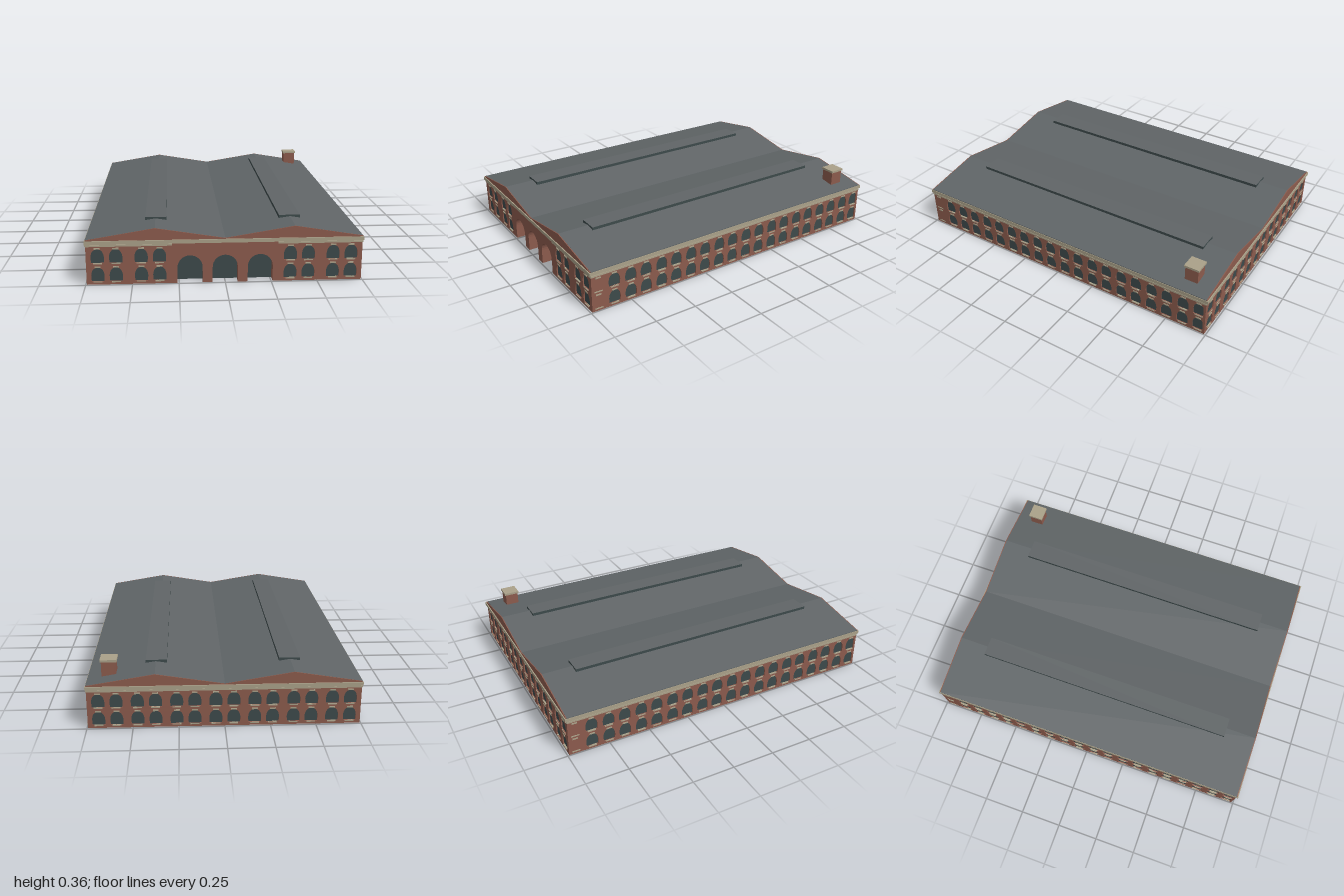
import * as THREE from 'three';
import { mergeGeometries } from 'three/addons/utils/BufferGeometryUtils.js';

const mat = (name, color, side = THREE.FrontSide) => {
  const m = new THREE.MeshStandardMaterial({ color, side });
  m.name = name;
  return m;
};

const T = 0.012;             // wall thickness
const ROWS = [0.018, 0.121]; // window sill heights

export function createModel() {
  const brick = mat('brick', 0x8c5b4d);
  const stone = mat('stone', 0xaaa189);
  const glass = mat('dark glass', 0x3d4a4b, THREE.DoubleSide);
  const slate = mat('slate roof', 0x606567);

  const model = new THREE.Group();
  model.name = 'brickHall';

  const add = (parent, name, geo, material) => {
    const m = new THREE.Mesh(geo, material);
    m.name = name;
    parent.add(m);
    return m;
  };
  const box = (x0, x1, y0, y1, z0, z1) =>
    new THREE.BoxGeometry(x1 - x0, y1 - y0, z1 - z0)
      .translate((x0 + x1) / 2, (y0 + y1) / 2, (z0 + z1) / 2);
  const extrude = (shape, depth, z) =>
    new THREE.ExtrudeGeometry(shape, { depth, bevelEnabled: false, curveSegments: 8 }).translate(0, 0, z);

  // Bell-shaped window outline, bottom centre at (x, y)
  const windowOutline = (path, x, y) => {
    path.moveTo(x - 0.034, y);
    path.lineTo(x + 0.034, y);
    path.lineTo(x + 0.036, y + 0.03);
    path.bezierCurveTo(x + 0.034, y + 0.055, x + 0.026, y + 0.077, x, y + 0.077);
    path.bezierCurveTo(x - 0.026, y + 0.077, x - 0.034, y + 0.055, x - 0.036, y + 0.03);
    path.lineTo(x - 0.034, y);
    return path;
  };

  // Wall outline with arched doorways cut up from the ground
  const wallOutline = (half, top, doors) => {
    const s = new THREE.Shape();
    s.moveTo(-half, 0);
    for (const x of doors) {
      s.lineTo(x - 0.068, 0);
      s.lineTo(x - 0.068, 0.087);
      s.absarc(x, 0.087, 0.068, Math.PI, 0, true);
      s.lineTo(x + 0.068, 0);
    }
    s.lineTo(half, 0);
    s.lineTo(half, top);
    s.lineTo(-half, top);
    s.closePath();
    return s;
  };

  // One facade in its own frame: outer face at z = 0, looking along +z
  const facade = (name, half, pairs, bands, doors = []) => {
    const g = new THREE.Group();
    g.name = name;
    const outline = wallOutline(half, 0.226, doors);
    const panes = [], trim = [];
    for (const p of pairs) for (const dx of [-0.049, 0.049]) for (const y of ROWS) {
      const x = p + dx;
      outline.holes.push(windowOutline(new THREE.Path(), x, y));
      panes.push(new THREE.ShapeGeometry(windowOutline(new THREE.Shape(), x, y), 8).translate(0, 0, -0.007));
      trim.push(box(x - 0.024, x + 0.024, y - 0.006, y, -T - 0.001, 0.003)); // sill
      trim.push(box(x - 0.016, x + 0.016, y + 0.077, y + 0.085, -T - 0.001, 0.003)); // head stone
    }
    for (const [a, b] of bands) trim.push(box(a, b, 0.213, 0.223, -0.002, 0.004));
    add(g, 'wall', extrude(outline, T, -T), brick);
    add(g, 'windowPanes', mergeGeometries(panes), glass);
    add(g, 'stoneTrim', mergeGeometries(trim), stone);
    model.add(g);
    return g;
  };

  // Front with three arched doorways
  const doors = [-0.19, 0, 0.19];
  const front = facade('frontFacade', 0.745, [-0.635, -0.402, 0.402, 0.635],
    [[-0.745, -0.285], [0.285, 0.745]], doors);
  front.position.z = 0.99;
  add(front, 'doorwayPiers', extrude(wallOutline(0.288, 0.17, doors), 0.045, -T - 0.045), brick);
  add(front, 'doorPanel', box(-0.288, 0.288, 0, 0.162, -0.062, -0.057), glass);

  // Back
  const back = facade('backFacade', 0.745, [-3, -2, -1, 0, 1, 2, 3].map((i) => i * 0.212), [[-0.745, 0.745]]);
  back.position.z = -0.99;
  back.rotation.y = Math.PI;

  // Long sides
  const sidePairs = Array.from({ length: 10 }, (_, i) => -0.9 + i * 0.2);
  for (const s of [-1, 1]) {
    const side = facade(s > 0 ? 'leftFacade' : 'rightFacade', 0.99 - T, sidePairs, [[-0.99, 0.99]]);
    side.position.x = s * 0.745;
    side.rotation.y = s * Math.PI / 2;
  }

  // Cornice slab closing the top of the walls
  add(model, 'cornice', box(-0.75, 0.75, 0.226, 0.246, -1, 1), stone);

  // Double-ridged roof with brick gables at both ends
  const roofLine = (w) => new THREE.Shape([
    [-w, 0.244], [w, 0.244], [w, 0.25], [0.375, 0.311], [0, 0.25], [-0.375, 0.311], [-w, 0.25],
  ].map(([x, y]) => new THREE.Vector2(x, y)));
  add(model, 'roof', extrude(roofLine(0.747), 1.978, -0.989), slate);
  for (const z of [0.989, -0.994]) add(model, 'gables', extrude(roofLine(0.745), 0.005, z), brick);

  // Ridge lanterns: glazed sides, slate top
  for (const s of [-1, 1]) {
    add(model, 'ridgeLantern', box(s * 0.372 - 0.059, s * 0.372 + 0.059, 0.29, 0.319, -0.805, 0.805),
      [glass, glass, slate, glass, glass, glass]);
  }

  // Chimney running down to the ground
  add(model, 'chimney', box(0.588, 0.668, 0.002, 0.348, -0.895, -0.815), brick);
  add(model, 'chimneyCap', box(0.582, 0.674, 0.347, 0.36, -0.901, -0.809), stone);

  return model;
}
